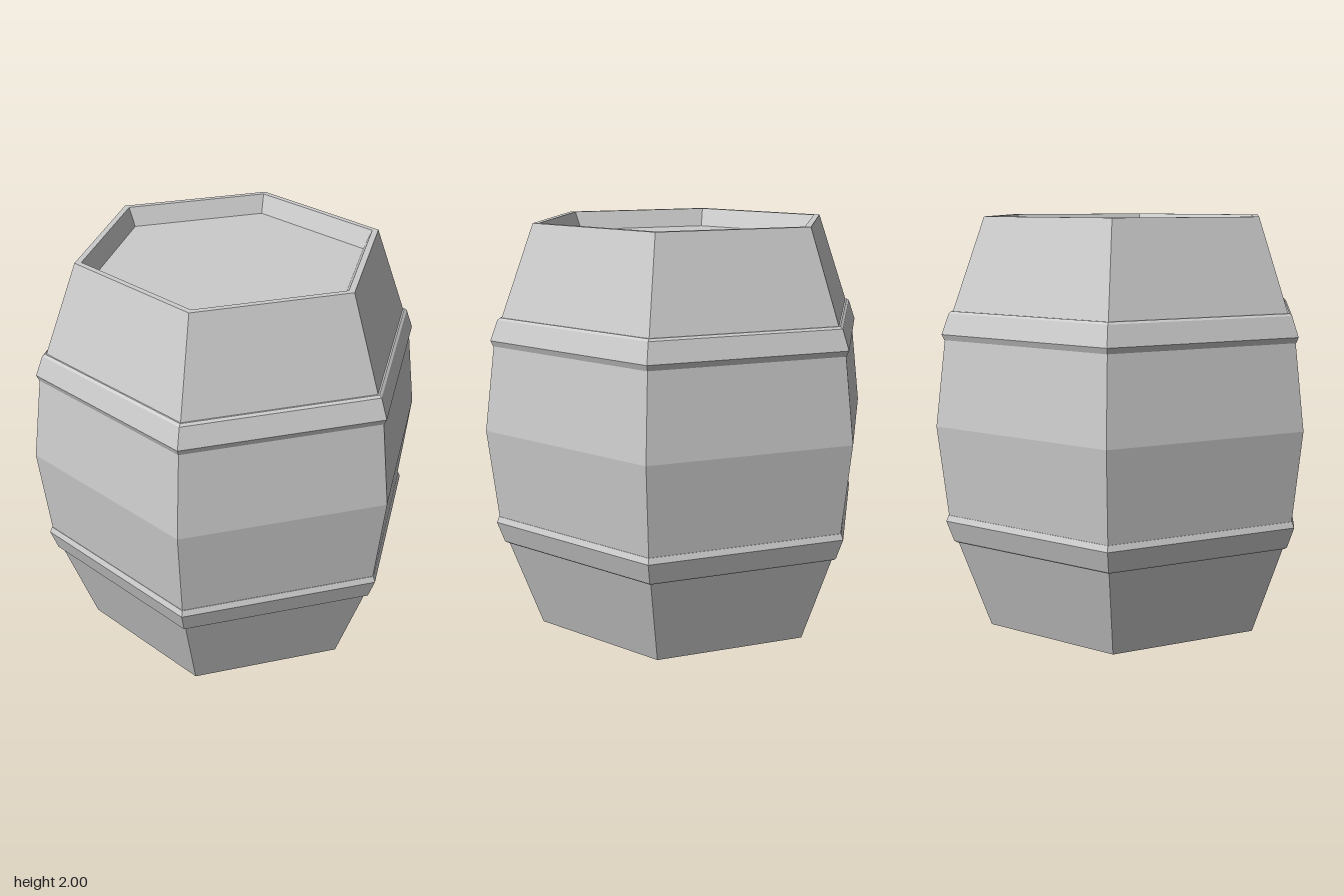
import * as THREE from 'three';

const material = new THREE.MeshStandardMaterial({ color: 0xcccccc, flatShading: true });

// Six-sided ring of a [radius, height] profile, with corners on the x axis
function hexLathe(name, profile) {
  const points = profile.map(([r, y]) => new THREE.Vector2(r, y));
  const geometry = new THREE.LatheGeometry(points, 6, Math.PI / 6);
  geometry.scale(1, 1, 1.018);
  const mesh = new THREE.Mesh(geometry, material);
  mesh.name = name;
  return mesh;
}

export function createModel() {
  const barrel = new THREE.Group();
  barrel.name = 'barrel';

  // Bulging staves with a rim and a recessed lid at both ends
  barrel.add(hexLathe('staves', [
    [0, 0.09], [0.665, 0.09], [0.705, 0.005], [0.737, 0.005],
    [0.905, 0.47], [0.938, 0.57], [0.99, 1.02], [0.938, 1.44],
    [0.905, 1.54], [0.737, 2], [0.705, 2], [0.665, 1.91], [0, 1.91],
  ]));

  // Hoops, widest towards the middle of the barrel
  barrel.add(hexLathe('lowerHoop', [
    [0.88, 0.445], [0.905, 0.445], [0.918, 0.455], [0.954, 0.555], [0.942, 0.583], [0.92, 0.583],
  ]));
  barrel.add(hexLathe('upperHoop', [
    [0.92, 1.428], [0.942, 1.428], [0.954, 1.455], [0.918, 1.552], [0.905, 1.562], [0.88, 1.562],
  ]));

  return barrel;
}
